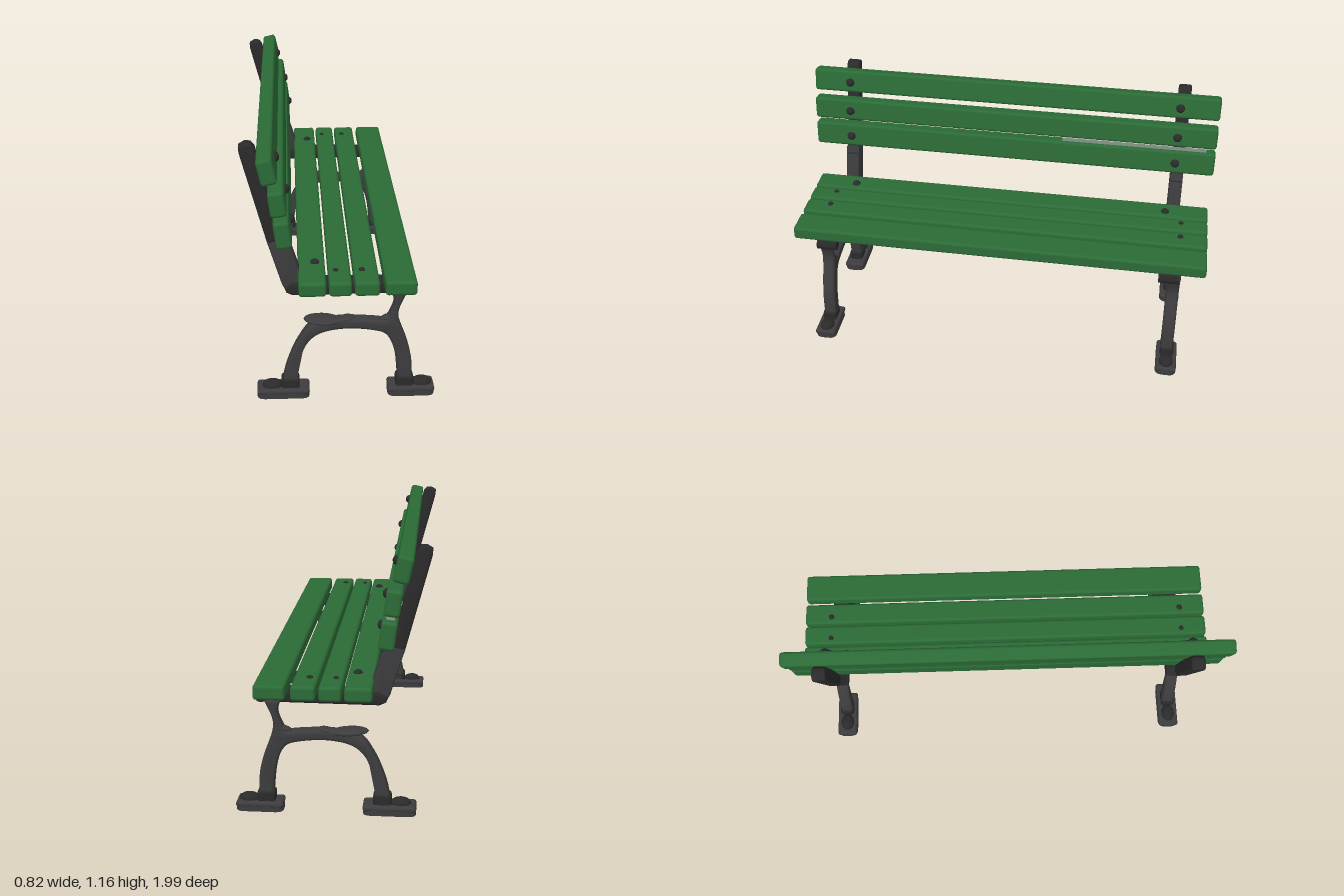
import * as THREE from 'three';
import { toCreasedNormals } from 'three/addons/utils/BufferGeometryUtils.js';
import { RoundedBoxGeometry } from 'three/addons/geometries/RoundedBoxGeometry.js';

const material = (name, color) => {
  const m = new THREE.MeshStandardMaterial({ color });
  m.name = name;
  return m;
};

export function createModel() {
  const green = material('green paint', 0x2b6b36);
  const iron = material('cast iron', 0x3c3c3e);
  const darkIron = material('dark iron', 0x2a2a2b);
  const worn = material('worn paint', 0x7c8a7e);

  const bench = new THREE.Group();
  bench.name = 'bench';

  const add = (parent, name, geometry, mat, x = 0, y = 0, z = 0) => {
    const mesh = new THREE.Mesh(geometry, mat);
    mesh.name = name;
    mesh.position.set(x, y, z);
    parent.add(mesh);
    return mesh;
  };
  const vectors = (points) => points.map(([x, y]) => new THREE.Vector2(x, y));

  // Side profile extruded along z, centred, with softened edges
  const profile = (shape, width, bevel) => {
    const g = new THREE.ExtrudeGeometry(shape, {
      depth: width - bevel * 2, curveSegments: 5, steps: 1,
      bevelThickness: bevel, bevelSize: bevel, bevelOffset: -bevel, bevelSegments: 3,
    });
    g.translate(0, 0, bevel - width / 2);
    return toCreasedNormals(g, 0.7);
  };
  const polygon = (points) => new THREE.Shape(vectors(points));

  // Seat slats: centre x, width
  [[-0.12, 0.115], [-0.004, 0.094], [0.107, 0.103], [0.247, 0.132]].forEach(([x, w], i) => {
    add(bench, 'seatSlat' + (i + 1), new RoundedBoxGeometry(w, 0.064, 1.97, 2, 0.014), green, x, 0.568, -0.003);
  });

  // Back slats with their bolts: centre x, centre y, height, tilt
  [[-0.297, 1.09, 0.11, 0.22], [-0.258, 0.953, 0.108, 0.13], [-0.238, 0.82, 0.118, 0.13]].forEach(([x, y, h, tilt], i) => {
    const slat = new THREE.Group();
    slat.name = 'backSlat' + (i + 1);
    slat.position.set(x, y, 0);
    slat.rotation.z = tilt;
    bench.add(slat);
    add(slat, 'backBoard', new RoundedBoxGeometry(0.066, h, 1.99, 2, 0.014), green);
    for (const z of [0.815, -0.805]) {
      const bolt = add(slat, 'backBolt', new THREE.SphereGeometry(0.021, 12, 8), darkIron, 0.033, -0.004, z);
      bolt.scale.x = 0.85;
    }
    if (i === 2) add(slat, 'wornPatch', new THREE.BoxGeometry(0.035, 0.004, 0.7), worn, 0, h / 2, -0.6);
  });

  // Seat bolts
  for (const s of [1, -1]) {
    for (const [x, z, r] of [[-0.105, 0.78, 0.02], [-0.02, 0.86, 0.012], [0.09, 0.86, 0.014]]) {
      add(bench, 'seatBolt', new THREE.SphereGeometry(r, 12, 8), darkIron, x, 0.6, z * s).scale.y = 0.7;
    }
  }

  // Leg outline: outer arch, neck, front leg, inner arch
  const legShape = new THREE.Shape();
  legShape.moveTo(-0.25, 0.03);
  legShape.splineThru(vectors([[-0.243, 0.1], [-0.22, 0.18], [-0.18, 0.27], [-0.12, 0.345], [0, 0.37], [0.13, 0.365], [0.19, 0.357]]));
  legShape.splineThru(vectors([[0.21, 0.385], [0.23, 0.445], [0.215, 0.495]]));
  legShape.lineTo(0.285, 0.495);
  legShape.splineThru(vectors([[0.253, 0.42], [0.252, 0.36], [0.29, 0.25], [0.31, 0.16], [0.315, 0.03]]));
  legShape.lineTo(0.25, 0.03);
  legShape.splineThru(vectors([[0.25, 0.09], [0.235, 0.21], [0.2, 0.29], [0.14, 0.315], [0.03, 0.325], [-0.07, 0.31], [-0.13, 0.27], [-0.165, 0.2], [-0.185, 0.08], [-0.185, 0.03]]));
  const legGeometry = profile(legShape, 0.06, 0.012);

  // Upright and seat rail
  const upperPost = profile(polygon([[-0.265, 0.71], [-0.205, 0.71], [-0.265, 0.8], [-0.285, 0.9], [-0.32, 1.04], [-0.345, 1.14],
    [-0.36, 1.158], [-0.385, 1.16], [-0.41, 1.145], [-0.408, 1.12], [-0.3, 0.71]]), 0.062, 0.01);
  const lowerPost = profile(polygon([[-0.305, 0.73], [-0.22, 0.75], [-0.172, 0.6], [-0.165, 0.53], [-0.17, 0.485], [-0.2, 0.482],
    [-0.23, 0.5], [-0.245, 0.53]]), 0.064, 0.01);
  const rail = profile(polygon([[-0.2, 0.482], [0.3, 0.485], [0.32, 0.497], [0.328, 0.515], [0.322, 0.538], [-0.2, 0.542], [-0.235, 0.52], [-0.228, 0.495]]), 0.08, 0.01);

  // Hollow rim under each foot
  const rimGeometry = (length) => {
    const oblong = (path, l, w) => {
      const r = w * 0.35, x = l / 2, y = w / 2;
      path.moveTo(-x + r, -y);
      path.lineTo(x - r, -y).quadraticCurveTo(x, -y, x, -y + r);
      path.lineTo(x, y - r).quadraticCurveTo(x, y, x - r, y);
      path.lineTo(-x + r, y).quadraticCurveTo(-x, y, -x, y - r);
      path.lineTo(-x, -y + r).quadraticCurveTo(-x, -y, -x + r, -y);
      return path;
    };
    const shape = oblong(new THREE.Shape(), length, 0.1);
    shape.holes.push(oblong(new THREE.Path(), length - 0.06, 0.05));
    const g = new THREE.ExtrudeGeometry(shape, { depth: 0.022, bevelEnabled: false, curveSegments: 5 });
    g.rotateX(-Math.PI / 2);
    return toCreasedNormals(g, 0.7);
  };

  for (const s of [1, -1]) {
    const frame = new THREE.Group();
    frame.name = s > 0 ? 'frontFrame' : 'rearFrame';
    bench.add(frame);
    const postZ = 0.82 * s, legZ = 0.85 * s;
    add(frame, 'upperPost', upperPost, darkIron, 0, 0, postZ);
    add(frame, 'lowerPost', lowerPost, iron, 0, 0, postZ);
    add(frame, 'seatRail', rail, darkIron, 0, 0, postZ);
    add(frame, 'railKnob', new THREE.CylinderGeometry(0.028, 0.028, 0.095, 16), darkIron, 0.298, 0.515, postZ).rotation.x = Math.PI / 2;
    add(frame, 'archedLeg', legGeometry, iron, 0, 0, legZ - 0.003 * s);

    // Leaf ornaments on the arch
    const leaf = (x, y, rx, ry, rz, tilt) => {
      const m = add(frame, 'leafOrnament', new THREE.SphereGeometry(1, 16, 10), iron, x, y, legZ);
      m.scale.set(rx, ry, rz);
      m.rotation.z = tilt;
    };
    leaf(-0.075, 0.363, 0.082, 0.015, 0.05, -0.06);
    leaf(0.025, 0.368, 0.035, 0.009, 0.03, 0.15);
    leaf(0.195, 0.368, 0.026, 0.008, 0.022, 0.35);

    // Feet: centre x, length, toe direction, ankle x
    for (const [x, length, toe, ankle] of [[-0.247, 0.228, -1, -0.216], [0.31, 0.204, 1, 0.282]]) {
      add(frame, 'footRim', rimGeometry(length), iron, x, 0, legZ);
      add(frame, 'footPlate', new RoundedBoxGeometry(length, 0.027, 0.1, 3, 0.012), iron, x, 0.029, legZ);
      add(frame, 'ankle', new RoundedBoxGeometry(0.078, 0.055, 0.066, 2, 0.012), darkIron, ankle, 0.06, legZ);
      const scroll = add(frame, 'toeScroll', new THREE.SphereGeometry(1, 14, 8), darkIron, x + toe * 0.048, 0.043, legZ);
      scroll.scale.set(0.045, 0.026, 0.034);
    }
  }
  return bench;
}
